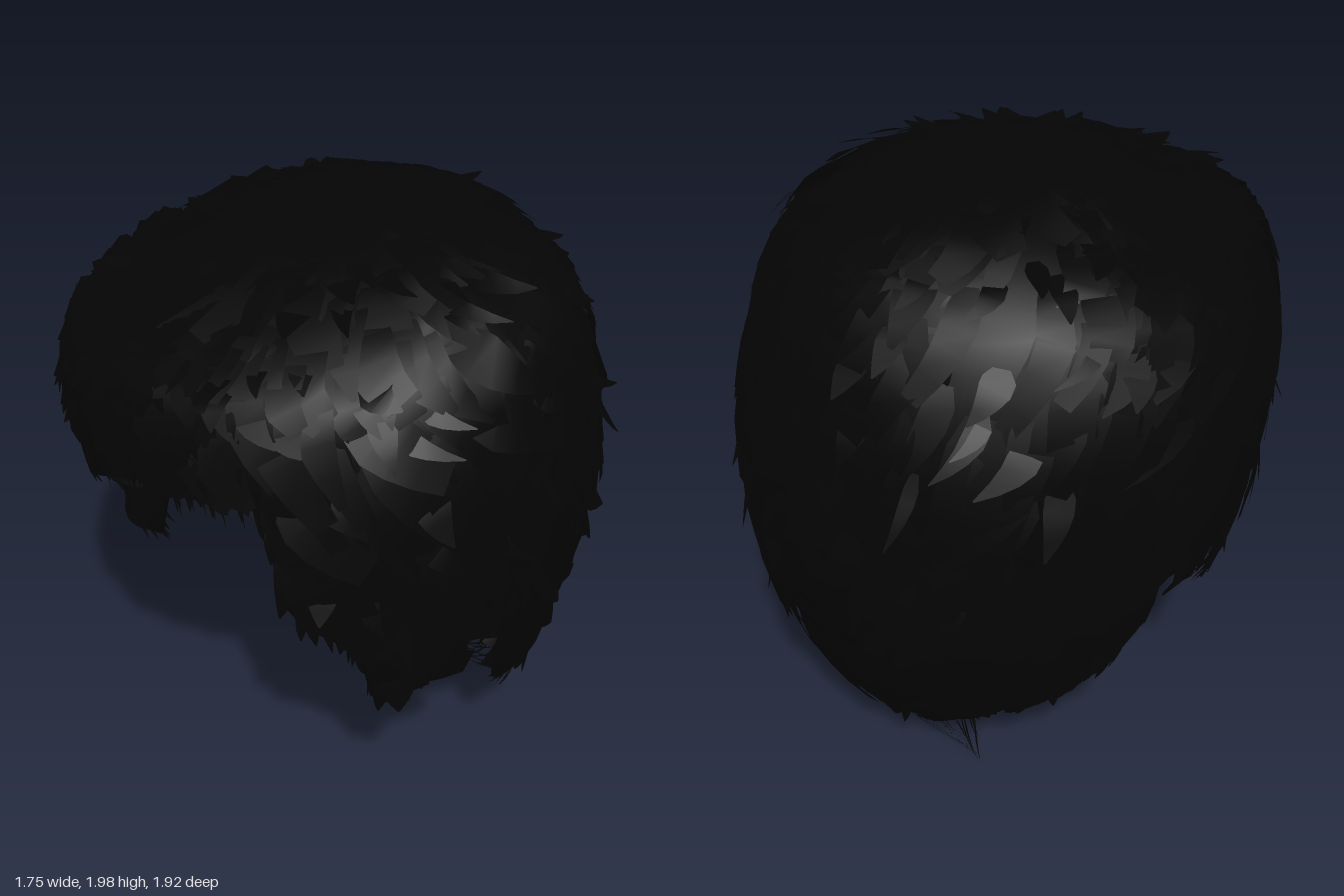
import * as THREE from 'three';
import { mergeGeometries } from 'three/addons/utils/BufferGeometryUtils.js';

const lerp = THREE.MathUtils.lerp;
const RAD = Math.PI / 180;

// Small seeded random
let seed = 7;
const rnd = (a = 0, b = 1) => {
  seed = (seed * 16807) % 2147483647;
  return a + (b - a) * seed / 2147483647;
};

// Head profile from the crown down: y, half width, front depth, back depth
const LEVELS = [
  [1.96, 0, 0, 0], [1.945, 0.24, 0.26, 0.3], [1.9, 0.44, 0.44, 0.46], [1.82, 0.62, 0.69, 0.6],
  [1.72, 0.74, 0.87, 0.7], [1.58, 0.79, 0.91, 0.78], [1.4, 0.82, 0.91, 0.84], [1.2, 0.82, 0.91, 0.88],
  [1.0, 0.79, 0.91, 0.89], [0.8, 0.76, 0.85, 0.87], [0.6, 0.7, 0.78, 0.82], [0.42, 0.64, 0.7, 0.75],
  [0.27, 0.58, 0.62, 0.66], [0.14, 0.5, 0.55, 0.55],
];

// Hem height by angle from the front (degrees): fringe, cheek, sideburn, ear notch, nape
const HEM = [
  [0, 1.42], [38, 1.42], [40, 1.1], [46, 0.98], [55, 0.87], [58, 0.63], [63, 0.56], [70, 0.65],
  [72, 0.75], [81, 0.8], [94, 0.78], [95, 0.65], [96, 0.46], [108, 0.33], [130, 0.23], [150, 0.18], [180, 0.17],
];

function hemY(a) {
  let d = Math.abs(a / RAD) % 360;
  if (d > 180) d = 360 - d;
  const i = Math.max(1, HEM.findIndex(p => p[0] >= d));
  const [p, q] = [HEM[i - 1], HEM[i]];
  return lerp(p[1], q[1], (d - p[0]) / (q[0] - p[0]));
}

// Level index at which the hair of angle a ends
function hemLevel(a) {
  const y = hemY(a);
  const i = LEVELS.findIndex(l => l[0] <= y);
  return i - 1 + (LEVELS[i - 1][0] - y) / (LEVELS[i - 1][0] - LEVELS[i][0]);
}

// Point on the hair surface at angle a and level u, narrowing to front and back
function surface(a, u) {
  const i = Math.min(Math.floor(u), LEVELS.length - 2), f = u - i;
  const [y, w, front, back] = LEVELS[i].map((v, k) => lerp(v, LEVELS[i + 1][k], f));
  const c = Math.cos(a), narrow = 1 - 0.13 * Math.pow(c, c > 0 ? 4 : 2);
  // Shallow parting dip above the right temple
  const dip = 0.07 * Math.exp(4 * (Math.cos(a + 0.8) - 1) - (u - 2.7) ** 2);
  return new THREE.Vector3(w * narrow * Math.sin(a), y - dip, c * (c > 0 ? front : back));
}

const outward = p => new THREE.Vector3(p.x, (p.y - 1) * 0.8, p.z).normalize();

// Grid of points to a geometry
function gridGeometry(rows) {
  const pos = [], index = [], n = rows[0].length;
  rows.forEach((row, r) => row.forEach((p, c) => {
    pos.push(p.x, p.y, p.z);
    if (r && c) {
      const d = r * n + c, b = d - n;
      index.push(b - 1, d - 1, b, b, d - 1, d);
    }
  }));
  const g = new THREE.BufferGeometry();
  g.setAttribute('position', new THREE.Float32BufferAttribute(pos, 3));
  g.setIndex(index);
  g.computeVertexNormals();
  return g;
}

// Thin cap: down the outside to the hem, then back up the inside
function capGeometry() {
  const rows = [], N = 22, COLS = 180;
  for (let r = 0; r <= 2 * N; r++) {
    const row = [], inside = r > N, t = inside ? (2 * N - r) / N : r / N;
    for (let c = 0; c <= COLS; c++) {
      const a = c / COLS * Math.PI * 2;
      const p = surface(a, t * hemLevel(a));
      if (inside) p.set(p.x * 0.96, 1 + (p.y - 1) * 0.97, p.z * 0.96);
      row.push(p);
    }
    rows.push(row);
  }
  return gridGeometry(rows);
}

// Tapered ribbon along a centre line
function ribbon(points, width, blunt) {
  return gridGeometry(points.map((p, k) => {
    const s = k / (points.length - 1);
    const along = points[Math.min(k + 1, points.length - 1)].clone().sub(points[Math.max(k - 1, 0)]);
    const side = along.cross(outward(p)).normalize();
    const w = width * (0.45 + 0.55 * Math.sin(Math.PI * Math.min(s * 1.4, 0.5))) * (1 - (1 - blunt) * s * s) / 2;
    return [p.clone().addScaledVector(side, w), p.clone().addScaledVector(side, -w)];
  }));
}

// One lock lying on the cap, its tip lifting free (or tucking under when flick is negative)
function lock(a, from, to, sweep, width, flick, blunt = 0.05) {
  const pts = [], N = 5, last = Math.min(to, hemLevel(a + sweep) + 0.25);
  for (let k = 0; k <= N; k++) {
    const s = k / N, ak = a + sweep * s * s;
    const p = surface(ak, Math.min(lerp(from, last, s), hemLevel(ak) + 0.25));
    pts.push(p.addScaledVector(outward(p), 0.006 + 0.015 * Math.sin(Math.PI * s) + flick * s * s));
  }
  return ribbon(pts, width, blunt);
}

export function createModel() {
  seed = 7;
  const model = new THREE.Group();
  const hair = new THREE.MeshStandardMaterial({ color: 0x040404, side: THREE.DoubleSide });
  const add = (name, geometry) => {
    const mesh = new THREE.Mesh(geometry, hair);
    mesh.name = name;
    model.add(mesh);
  };
  const sweepBack = (a, min, max) => Math.sign(a) * Math.abs(Math.sin(a)) * rnd(min, max);

  add('hairCap', capGeometry());

  // Broad chunky locks all over, swept back at the sides
  const locks = [];
  for (let i = 0; i < 520; i++) {
    const a = rnd(-Math.PI, Math.PI), end = hemLevel(a);
    const from = rnd(0.6, end - 0.8), to = Math.min(from + rnd(1.2, 3), end);
    locks.push(lock(a, from, to, sweepBack(a, 0.05, 0.35), rnd(0.1, 0.22), rnd(0, 0.04), rnd(0.05, 0.7)));
  }
  add('layeredLocks', mergeGeometries(locks));

  // Under-layer whose tips tuck inside the cap
  const under = [];
  for (let i = 0; i < 260; i++) {
    const a = rnd(-Math.PI, Math.PI), end = hemLevel(a), from = rnd(1, end - 0.8);
    under.push(lock(a, from, Math.min(from + rnd(1.2, 3), end), sweepBack(a, 0, 0.3), rnd(0.1, 0.22), -rnd(0.06, 0.11), 0.6));
  }
  add('underLocks', mergeGeometries(under));

  // Short spiky ends breaking the outline
  const spikes = [];
  for (let i = 0; i < 170; i++) {
    const a = rnd(-Math.PI, Math.PI), from = rnd(1, hemLevel(a) - 0.9);
    spikes.push(lock(a, from, from + rnd(0.6, 1.2), sweepBack(a, 0, 0.2), rnd(0.05, 0.14), rnd(0.03, 0.075)));
  }
  add('spikyEnds', mergeGeometries(spikes));

  // Crown locks fanning from the top
  const crown = [];
  for (let i = 0; i < 60; i++) {
    crown.push(lock(i * 2.4, rnd(0.1, 0.6), rnd(1.2, 3.4), rnd(-0.3, 0.3), rnd(0.1, 0.22), rnd(0, 0.04), rnd(0.05, 0.6)));
  }
  add('crownLocks', mergeGeometries(crown));

  // Ragged tips along the whole hem
  const tips = [];
  for (let i = 0; i < 300; i++) {
    const a = (i / 300 * 2 - 1) * Math.PI, end = hemLevel(a);
    tips.push(lock(a, end - rnd(0.8, 1.4), end + rnd(0, 0.25), rnd(-0.03, 0.03), rnd(0.03, 0.08), rnd(-0.03, 0.02)));
  }
  add('hemTips', mergeGeometries(tips));

  // Fine fringe strands hanging under the front edge
  const fringe = [];
  for (let i = 0; i < 120; i++) {
    const a = rnd(-36, 36) * RAD, depth = rnd(0.95, 1.02), drop = rnd(0.01, 0.08);
    const top = surface(a, hemLevel(a)).multiply(new THREE.Vector3(depth, 1, depth));
    const pts = [0, 0.5, 1].map(s => top.clone().add(new THREE.Vector3(0.02 * s * s, 0.05 - (drop + 0.05) * s, 0)));
    fringe.push(ribbon(pts, 0.012, 0.1));
  }
  add('fringeStrands', mergeGeometries(fringe));

  // Thin wisps trailing sideways at the nape
  const wisps = [];
  for (let i = 0; i < 60; i++) {
    const a = rnd(120, 225) * RAD, start = surface(a, hemLevel(a) - 0.2);
    const tip = new THREE.Vector3(Math.max(start.x - rnd(0.08, 0.3), -0.4), i ? rnd(0.02, 0.15) : 0, lerp(start.z, -0.45, 0.85));
    const mid = new THREE.Vector3(lerp(start.x, tip.x, 0.3), lerp(start.y, tip.y, 0.8), lerp(start.z, tip.z, 0.5));
    wisps.push(ribbon(new THREE.QuadraticBezierCurve3(start, mid, tip).getPoints(6), 0.007, 0.2));
  }
  add('napeWisps', mergeGeometries(wisps));

  return model;
}
